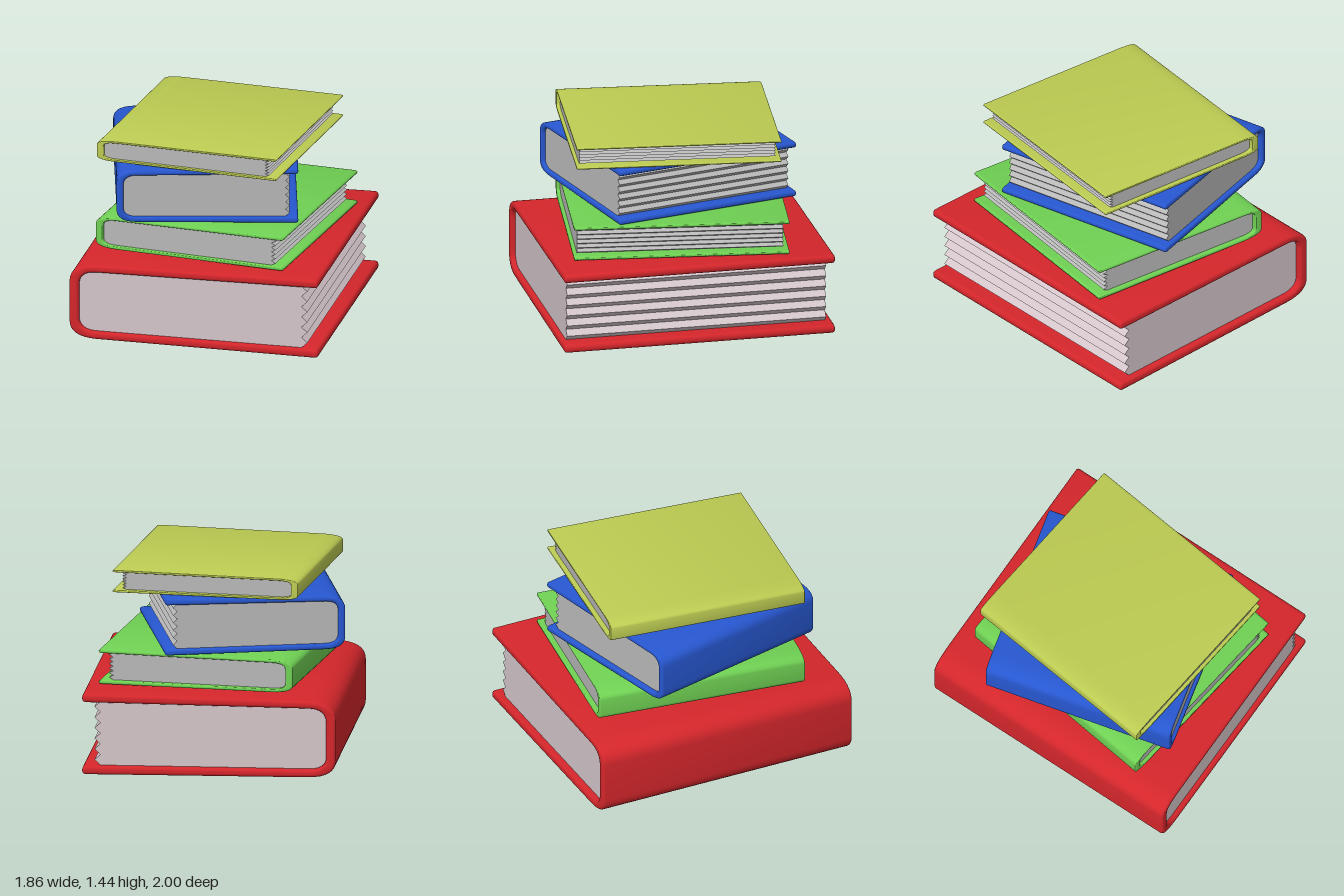
import * as THREE from 'three';
import { toCreasedNormals } from 'three/addons/utils/BufferGeometryUtils.js';

// Each book: size, pose and colours; the same proportions are stretched to fit.
const BOOKS = [
  { name: 'redBook', w: 1.84, h: 0.595, d: 2.0, x: 0.01, y: 0, z: 0, turn: 0, cover: 0xd4262b, paper: 0xd4c6ca },
  { name: 'greenBook', w: 1.44, h: 0.255, d: 1.56, x: 0.03, y: 0.6, z: 0, turn: -0.13, cover: 0x6fd053, paper: 0xb8b8b8 },
  { name: 'blueBook', w: 1.31, h: 0.415, d: 1.42, x: -0.125, y: 0.857, z: 0, turn: 0.24, cover: 0x2757d0, paper: 0xb8b8b8 },
  { name: 'yellowBook', w: 1.37, h: 0.165, d: 1.485, x: -0.015, y: 1.272, z: 0.02, turn: -0.11, cover: 0xbccb52, paper: 0xb8b8b8 },
];

// C-shaped section of the cover: two boards joined by a rounded spine.
function coverShape(w, h) {
  const s = new THREE.Shape();
  const line = (x, y) => s.lineTo(x * w, y * h);
  const bend = (cx, cy, x, y) => s.quadraticCurveTo(cx * w, cy * h, x * w, y * h);
  s.moveTo(0.483 * w, 0);
  bend(0.5, 0, 0.5, 0.05);
  bend(0.5, 0.105, 0.483, 0.105);
  line(-0.39, 0.125);
  bend(-0.462, 0.125, -0.462, 0.29);
  line(-0.462, 0.71);
  bend(-0.462, 0.885, -0.39, 0.885);
  line(0.483, 0.895);
  bend(0.5, 0.895, 0.5, 0.95);
  bend(0.5, 1, 0.483, 1);
  line(-0.39, 0.978);
  bend(-0.5, 0.965, -0.5, 0.75);
  line(-0.5, 0.25);
  bend(-0.5, 0.035, -0.39, 0.03);
  s.closePath();
  return s;
}

// Page block section: rounded at the spine, zigzag at the open edge.
function pagesShape(w, h, teeth = 6) {
  const s = new THREE.Shape();
  const bottom = 0.105, top = 0.895;
  s.moveTo(-0.39 * w, 0.12 * h);
  s.lineTo(0.43 * w, bottom * h);
  for (let i = 1; i <= teeth * 2; i++) {
    const y = bottom + (top - bottom) * i / (teeth * 2);
    s.lineTo((i % 2 ? 0.453 : 0.43) * w, y * h);
  }
  s.lineTo(-0.39 * w, 0.89 * h);
  s.quadraticCurveTo(-0.465 * w, 0.89 * h, -0.465 * w, 0.71 * h);
  s.lineTo(-0.465 * w, 0.29 * h);
  s.quadraticCurveTo(-0.465 * w, 0.12 * h, -0.39 * w, 0.12 * h);
  return s;
}

function part(name, geometry, color) {
  const mesh = new THREE.Mesh(toCreasedNormals(geometry, 0.6), new THREE.MeshStandardMaterial({ color }));
  mesh.name = name;
  return mesh;
}

function makeBook({ name, w, h, d, x, y, z, turn, cover, paper }) {
  const book = new THREE.Group();
  book.name = name;

  // Cover with softly rounded head and tail edges
  const r = 0.034 * h;
  const coverGeo = new THREE.ExtrudeGeometry(coverShape(w, h), {
    depth: d - 2 * r, curveSegments: 8,
    bevelThickness: r, bevelSize: r, bevelOffset: -r, bevelSegments: 3,
  });
  coverGeo.translate(0, 0, r - d / 2);
  book.add(part('cover', coverGeo, cover));

  // Page block, set in slightly from the cover
  const pagesGeo = new THREE.ExtrudeGeometry(pagesShape(w, h), {
    depth: d * 0.957, curveSegments: 8, bevelEnabled: false,
  });
  pagesGeo.translate(0, 0, -d * 0.475);
  book.add(part('pages', pagesGeo, paper));

  book.position.set(x, y, z);
  book.rotation.y = turn;
  return book;
}

export function createModel() {
  const stack = new THREE.Group();
  stack.name = 'bookStack';
  for (const spec of BOOKS) stack.add(makeBook(spec));
  return stack;
}
